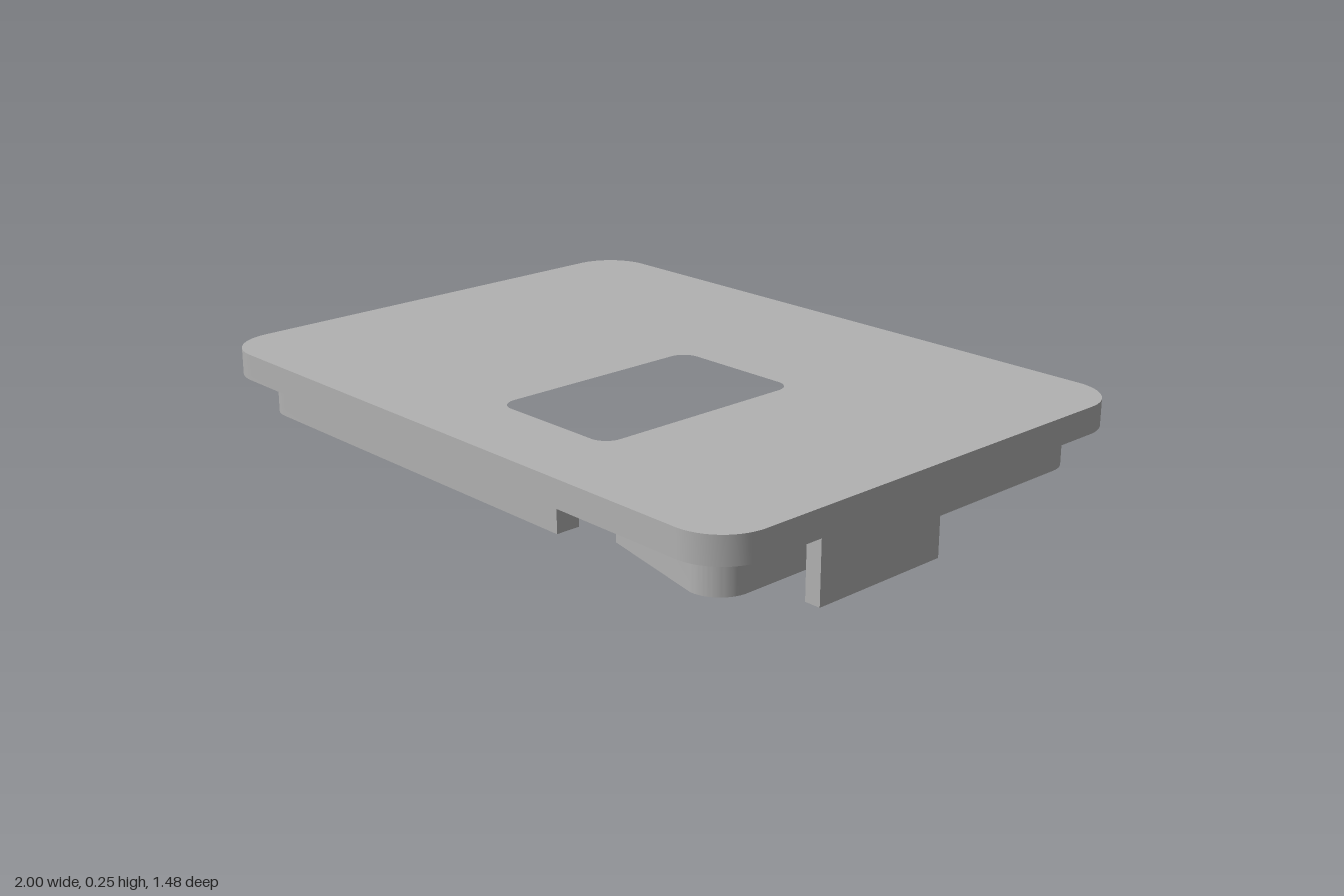
import * as THREE from 'three';
import { toCreasedNormals } from 'three/addons/utils/BufferGeometryUtils.js';

// Rounded rectangle centred on (cx, cz); appended to any path, in either direction.
function roundedCorners(path, cx, cz, hx, hz, r, clockwise = true) {
  const corners = [[1, 1, 0.5], [1, -1, 0], [-1, -1, -0.5], [-1, 1, -1]]; // signs, start angle / PI
  if (!clockwise) corners.reverse();
  for (const [sx, sz, a] of corners) {
    const start = a * Math.PI, end = (a - 0.5) * Math.PI;
    path.absarc(cx + sx * (hx - r), cz + sz * (hz - r), r,
      clockwise ? start : end, clockwise ? end : start, clockwise);
  }
  return path;
}

// Extrude a plan shape (x, z) between two heights.
function slab(name, shape, bottom, top, material) {
  const geo = new THREE.ExtrudeGeometry(shape, { depth: top - bottom, bevelEnabled: false, curveSegments: 12 });
  geo.rotateX(Math.PI / 2).translate(0, top, 0);
  const mesh = new THREE.Mesh(toCreasedNormals(geo, 0.5), material);
  mesh.name = name;
  return mesh;
}

export function createModel() {
  const group = new THREE.Group();
  group.name = 'coverLid';
  const grey = new THREE.MeshStandardMaterial({ color: 0xb2b2b2 });
  grey.name = 'grey';

  // Flat lid with a rounded window
  const plate = roundedCorners(new THREE.Shape(), 0, 0, 1, 0.74, 0.14);
  plate.closePath();
  const opening = roundedCorners(new THREE.Path(), 0.155, 0.17, 0.205, 0.33, 0.05);
  opening.closePath();
  plate.holes.push(opening);
  group.add(slab('lidPlate', plate, 0.17, 0.245, grey));

  // Locating rim underneath, with a notch in its front wall
  const hx = 0.917, hz = 0.66, r = 0.09, t = 0.07;
  const rim = new THREE.Shape();
  rim.moveTo(0.5, hz);
  roundedCorners(rim, 0, 0, hx, hz, r);
  rim.lineTo(0.365, hz);
  rim.lineTo(0.365, hz - t);
  roundedCorners(rim, 0, 0, hx - t, hz - t, 0.04, false);
  rim.lineTo(0.5, hz - t);
  rim.closePath();
  group.add(slab('locatingRim', rim, 0.055, 0.17, grey));

  // Side tab flush with the edge of the lid
  const tab = new THREE.Mesh(new THREE.BoxGeometry(0.045, 0.17, 0.42), grey);
  tab.name = 'sideTab';
  tab.position.set(0.9775, 0.085, 0.21);
  group.add(tab);

  return group;
}
